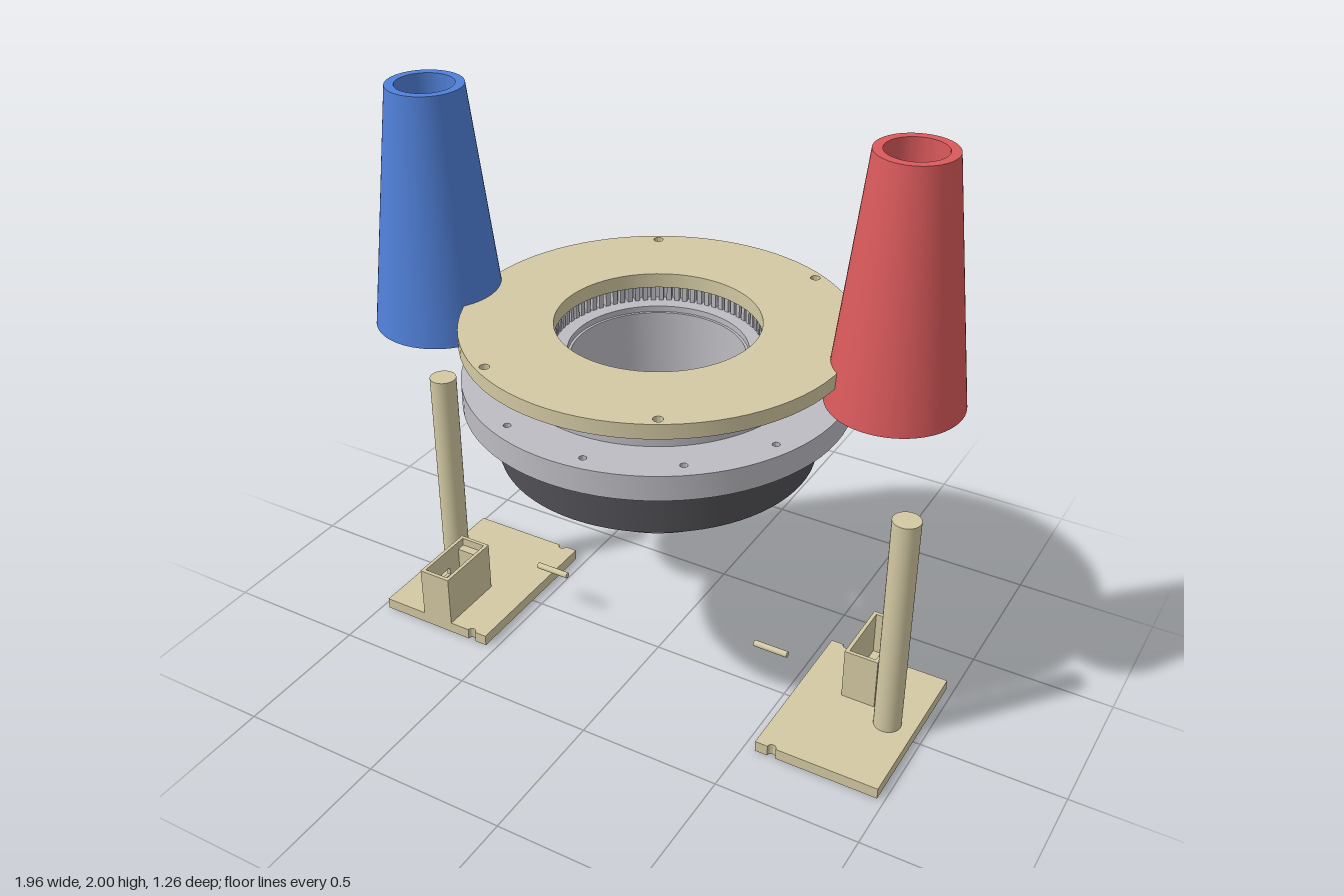
import * as THREE from 'three';
import { toCreasedNormals } from 'three/addons/utils/BufferGeometryUtils.js';

const material = (name, color) => {
  const m = new THREE.MeshStandardMaterial({ color });
  m.name = name;
  return m;
};

export function createModel() {
  const tan = material('tan', 0xd3c9a3);
  const grey = material('light grey', 0xbdbcc2);
  const dark = material('dark grey', 0x505055);
  const blue = material('blue', 0x5080d8);
  const red = material('red', 0xdb5a5c);
  const model = new THREE.Group();

  const add = (parent, name, geometry, mat) => {
    const mesh = new THREE.Mesh(geometry, mat);
    mesh.name = name;
    parent.add(mesh);
    return mesh;
  };
  // Extrude a plan shape upwards from y0 to y1
  const slab = (shape, y0, y1) => {
    const g = new THREE.ExtrudeGeometry(shape, { depth: y1 - y0, bevelEnabled: false, curveSegments: 40 });
    g.rotateX(-Math.PI / 2).translate(0, y0, 0);
    return toCreasedNormals(g, 0.5);
  };
  const circle = (x, y, r) => new THREE.Path().absarc(x, y, r, 0, Math.PI * 2, true);
  const disc = (r) => new THREE.Shape().absarc(0, 0, r, 0, Math.PI * 2, false);
  // Ring with optional small bolt holes
  const ring = (ro, ri, y0, y1, holes = []) => {
    const s = disc(ro);
    s.holes.push(circle(0, 0, ri), ...holes.map(([x, y, r]) => circle(x, y, r)));
    return slab(s, y0, y1);
  };
  const boltCircle = (n, radius, r, start = 0) => Array.from({ length: n }, (_, i) => {
    const a = start + (i / n) * Math.PI * 2;
    return [radius * Math.cos(a), radius * Math.sin(a), r];
  });
  // Square-toothed outline alternating between two radii
  const toothed = (n, rTooth, rGap, share) => {
    const pts = [];
    for (let i = 0; i < n; i++) {
      [[0, rTooth], [share, rTooth], [share, rGap], [1, rGap]].forEach(([f, r]) => {
        const a = ((i + f) / n) * Math.PI * 2;
        pts.push(new THREE.Vector2(r * Math.cos(a), r * Math.sin(a)));
      });
    }
    return pts;
  };

  // Central turntable, from the bottom upwards
  const turntable = new THREE.Group();
  turntable.name = 'turntable';
  model.add(turntable);
  add(turntable, 'rotorFloor', ring(0.355, 0.16, 0.75, 0.82, boltCircle(6, 0.225, 0.014)), grey);
  const gear = new THREE.Shape(toothed(80, 0.355, 0.335, 0.62));
  gear.holes.push(circle(0, 0, 0.281));
  add(turntable, 'rotorTeeth', slab(gear, 0.82, 0.87), grey);
  add(turntable, 'rotorTube', ring(0.338, 0.281, 0.87, 1.2), grey);
  add(turntable, 'housing', ring(0.52, 0.345, 0.87, 1.06, boltCircle(6, 0.435, 0.018, 0.3)), dark);
  add(turntable, 'flange', ring(0.63, 0.345, 1.06, 1.145, boltCircle(12, 0.575, 0.012, 0.13)), grey);
  add(turntable, 'collar', ring(0.47, 0.29, 1.145, 1.22), grey);
  const innerTeeth = disc(0.425);
  innerTeeth.holes.push(new THREE.Path(toothed(80, 0.335, 0.358, 0.6).reverse()));
  add(turntable, 'innerTeeth', slab(innerTeeth, 1.22, 1.27), grey);
  const plateHoles = [-0.3, 0.3].flatMap((x) => [-0.52, 0.52].map((z) => [x, z, 0.016]));
  add(turntable, 'topPlate', ring(0.63, 0.33, 1.27, 1.32, plateHoles), tan);
  add(turntable, 'indexBall', new THREE.SphereGeometry(0.021, 20, 14), tan).position.set(0.322, 1.235, 0.055);

  // Hollow tapered spools
  const spool = (name, x, z, mat) => {
    const profile = [[0.218, 1.185], [0.125, 2], [0.095, 2], [0.095, 1.185], [0.218, 1.185]]
      .map(([r, y]) => new THREE.Vector2(r, y));
    const g = toCreasedNormals(new THREE.LatheGeometry(profile, 72), 0.5);
    add(model, name, g, mat).position.set(x, 0, z);
  };
  spool('blueSpool', -0.76, 0.125, blue);
  spool('redSpool', 0.76, -0.125, red);

  // Stand: notched base, post, open box and loose pin
  const stand = (name, turn) => {
    const group = new THREE.Group();
    group.name = name;
    group.rotation.y = turn;
    model.add(group);

    const s = new THREE.Shape();
    s.moveTo(0.54, -0.3);
    s.lineTo(0.585, -0.3);
    s.absarc(0.6, -0.3, 0.015, Math.PI, 0, true);
    s.lineTo(0.975, -0.3);
    s.lineTo(0.975, 0.3);
    s.lineTo(0.615, 0.3);
    s.absarc(0.6, 0.3, 0.015, 0, Math.PI, true);
    s.lineTo(0.54, 0.3);
    s.closePath();
    add(group, 'base', slab(s, 0, 0.04), tan);
    add(group, 'post', new THREE.CylinderGeometry(0.047, 0.047, 0.82, 40), tan).position.set(0.88, 0.45, 0);
    const pin = add(group, 'pin', new THREE.CylinderGeometry(0.011, 0.011, 0.125, 20), tan);
    pin.rotation.z = Math.PI / 2;
    pin.position.set(0.4425, 0.175, 0);

    // Box walls as [x0, x1, y0, y1, z0, z1]; the outer wall leaves a small slot
    [
      [0.69, 0.703, 0.04, 0.23, -0.3, -0.05],
      [0.703, 0.797, 0.04, 0.23, -0.3, -0.286],
      [0.703, 0.797, 0.04, 0.23, -0.063, -0.05],
      [0.703, 0.797, 0.04, 0.2, -0.094, -0.063],
      [0.703, 0.797, 0.04, 0.07, -0.286, -0.094],
      [0.797, 0.81, 0.04, 0.122, -0.3, -0.05],
      [0.797, 0.81, 0.152, 0.23, -0.3, -0.05],
      [0.797, 0.81, 0.122, 0.152, -0.3, -0.2],
      [0.797, 0.81, 0.122, 0.152, -0.15, -0.05],
    ].forEach(([x0, x1, y0, y1, z0, z1]) => {
      add(group, 'boxWall', new THREE.BoxGeometry(x1 - x0, y1 - y0, z1 - z0), tan)
        .position.set((x0 + x1) / 2, (y0 + y1) / 2, (z0 + z1) / 2);
    });
  };
  stand('leftStand', 0);
  stand('rightStand', Math.PI);

  return model;
}
